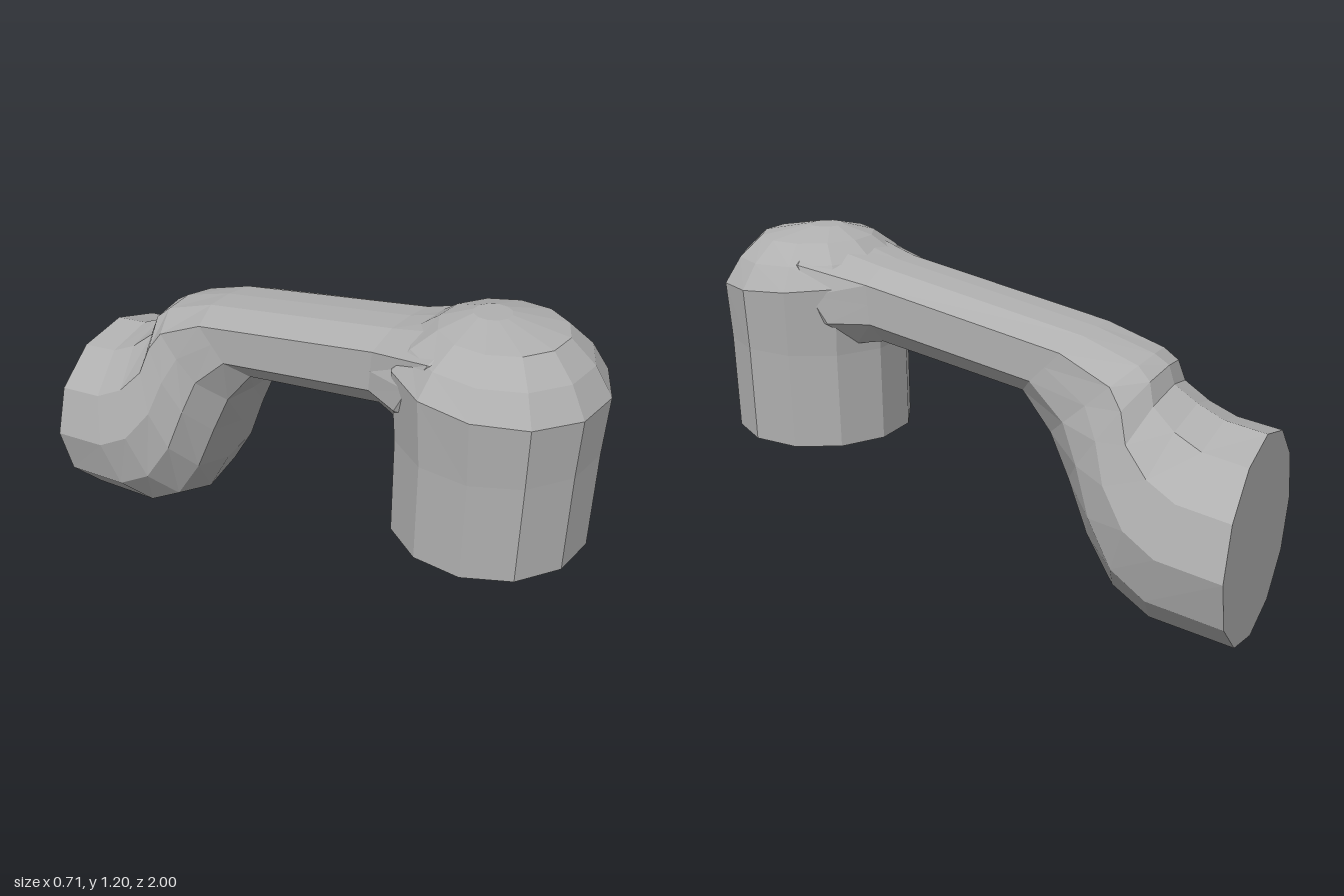
import * as THREE from 'three';

// Skin a list of rings (arrays of Vector3) and close both ends.
function loft(rings) {
  const n = rings[0].length, pos = [];
  const tri = (...pts) => pts.forEach(p => pos.push(p.x, p.y, p.z));
  const centre = ring => ring.reduce((s, p) => s.add(p), new THREE.Vector3()).divideScalar(n);
  const first = rings[0], last = rings[rings.length - 1];
  const c0 = centre(first), c1 = centre(last);
  for (let i = 0; i < n; i++) {
    const j = (i + 1) % n;
    for (let k = 0; k < rings.length - 1; k++) {
      const a = rings[k], b = rings[k + 1];
      tri(a[i], a[j], b[i]);
      tri(a[j], b[j], b[i]);
    }
    tri(c0, first[j], first[i]);
    tri(c1, last[i], last[j]);
  }
  const g = new THREE.BufferGeometry();
  g.setAttribute('position', new THREE.Float32BufferAttribute(pos, 3));
  g.computeVertexNormals();
  return g;
}

// Half outlines, top to bottom: round tube and chamfered bar.
const ROUND = [[0, 1], [0.5, 0.866], [0.866, 0.5], [1, 0], [0.866, -0.5], [0.5, -0.866], [0, -1]];
const BAR = [[0, 1], [0.5, 0.95], [1, 0.62], [1, 0.1], [1, -0.42], [0.65, -1], [0, -1]];

// Cross-section between a bottom and a top point; box blends round into bar.
function section([bz, by, tz, ty, w, box]) {
  const half = ROUND.map((p, i) => [0, 1].map(k => THREE.MathUtils.lerp(p[k], BAR[i][k], box)));
  const all = [...half, ...half.slice(1, -1).reverse().map(([x, v]) => [-x, v])];
  return all.map(([x, v]) => new THREE.Vector3(
    x * w, by + (ty - by) * (v + 1) / 2, bz + (tz - bz) * (v + 1) / 2));
}

// Twelve-sided horizontal ring of the post, tilted down towards the front.
function postRing([y, r, cz, tilt]) {
  return Array.from({ length: 12 }, (_, i) => {
    const a = (i + 0.5) * Math.PI / 6;
    return new THREE.Vector3(r * Math.sin(a), y - tilt * Math.cos(a), cz + r * Math.cos(a));
  });
}

export function createModel() {
  const group = new THREE.Group();
  const grey = new THREE.MeshStandardMaterial({ color: 0xb0b0b0, flatShading: true });
  grey.name = 'light grey';
  const add = (name, geometry) => {
    const mesh = new THREE.Mesh(geometry, grey);
    mesh.name = name;
    group.add(mesh);
  };

  // Upright joint with a domed cap: y, radius, centre z, tilt
  add('frontPost', loft([
    [0.465, 0.32, 0.67, 0],
    [0.8, 0.322, 0.675, 0],
    [1.02, 0.336, 0.672, 0.025],
    [1.1, 0.28, 0.67, 0.01],
    [1.165, 0.2, 0.67, 0],
    [1.2, 0.06, 0.63, 0],
  ].map(postRing)));

  // Bar flaring into the rear socket: bottom z, y, top z, y, half width, boxiness
  add('armAndRearSocket', loft([
    [0.52, 0.8, 0.75, 1.17, 0.24, 0.4],
    [0.4, 0.82, 0.62, 1.19, 0.275, 0.5],
    [0.32, 0.845, 0.34, 1.105, 0.2, 1],
    [-0.22, 0.76, -0.42, 0.97, 0.2, 1],
    [-0.32, 0.63, -0.62, 0.91, 0.22, 0.75],
    [-0.385, 0.47, -0.67, 0.88, 0.25, 0.4],
    [-0.46, 0.28, -0.69, 0.82, 0.285, 0.2],
    [-0.56, 0.11, -0.77, 0.77, 0.325, 0],
    [-0.7, 0.03, -0.86, 0.73, 0.348, 0],
    [-1, 0, -1, 0.71, 0.355, 0],
  ].map(section)));

  return group;
}
